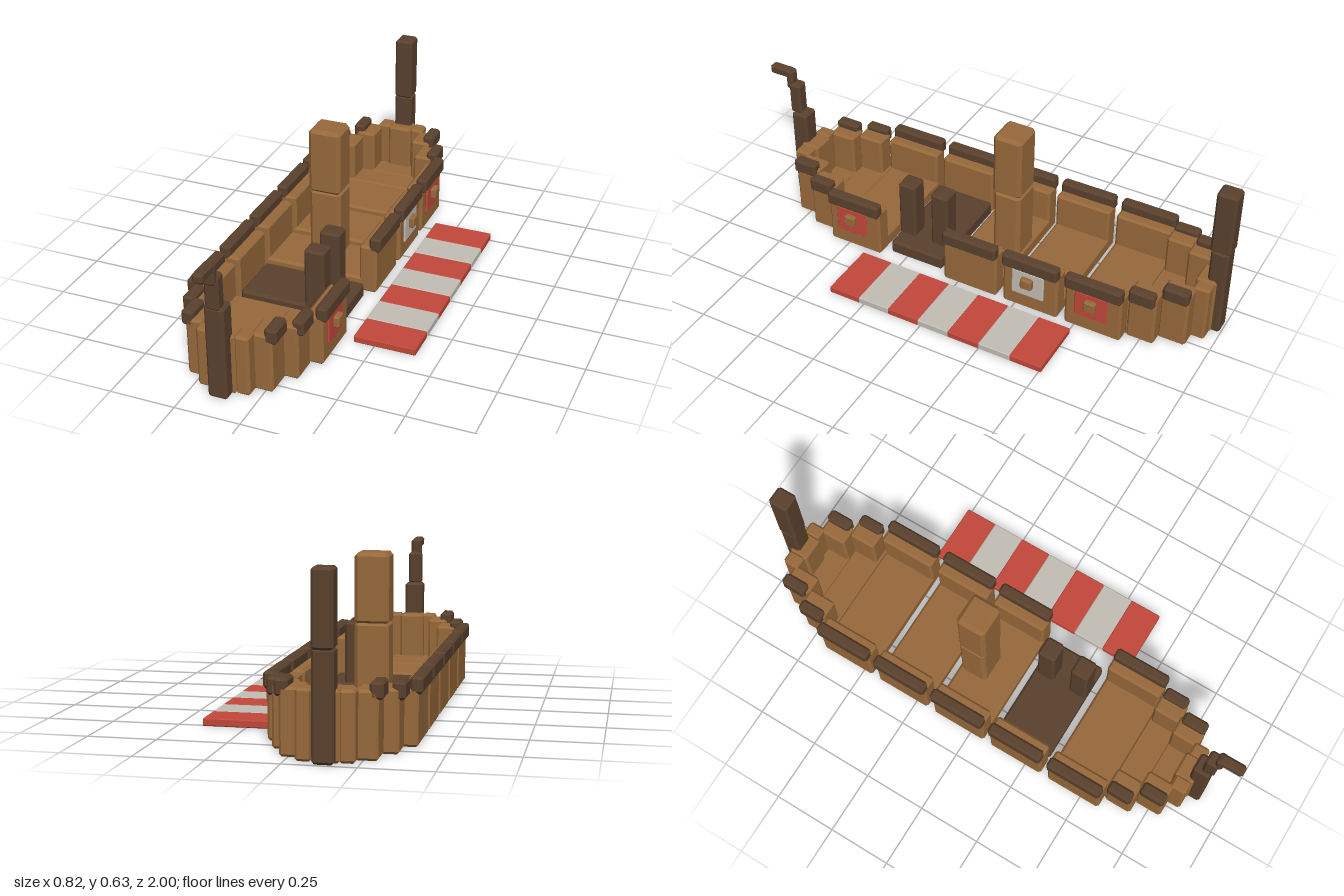
import * as THREE from 'three';
import { ConvexGeometry } from 'three/addons/geometries/ConvexGeometry.js';

const mat = (name, color) => {
  const m = new THREE.MeshStandardMaterial({ color });
  m.name = name;
  return m;
};

// Box between two corners, with chamfered edges
function chamferBox([x0, x1], [y0, y1], [z0, z1], c) {
  const half = [(x1 - x0) / 2, (y1 - y0) / 2, (z1 - z0) / 2];
  const points = [];
  for (const sx of [-1, 1]) for (const sy of [-1, 1]) for (const sz of [-1, 1]) {
    for (let axis = 0; axis < 3; axis++) {
      const p = half.map((h, i) => (i === axis ? h : h - c));
      points.push(new THREE.Vector3(p[0] * sx, p[1] * sy, p[2] * sz));
    }
  }
  return new ConvexGeometry(points).translate((x0 + x1) / 2, (y0 + y1) / 2, (z0 + z1) / 2);
}

export function createModel() {
  const model = new THREE.Group();
  model.name = 'longboat';
  const wood = mat('wood', 0x97693b);
  const dark = mat('dark wood', 0x5a412d);
  const red = mat('red', 0xc2473a);
  const white = mat('off white', 0xc2beb4);

  const part = (parent, name, material, x, y, z, c = 0.009) => {
    const mesh = new THREE.Mesh(chamferBox(x, y, z, c), material);
    mesh.name = name;
    parent.add(mesh);
  };
  const group = (name, parent = model) => {
    const g = new THREE.Group();
    g.name = name;
    parent.add(g);
    return g;
  };
  const side = (s, a, b) => (s > 0 ? [a, b] : [-b, -a]);

  // Boat: its own centre line is x = 0 here
  const boat = group('boat');
  boat.position.x = -0.135;

  // Five middle hull sections; the fourth is the open boarding section
  for (let i = 0; i < 5; i++) {
    const z = [-0.69 + i * 0.26, -0.46 + i * 0.26];
    const boarding = i === 3;
    const section = group(boarding ? 'boardingSection' : 'hullSection', boat);
    part(section, 'floor', boarding ? dark : wood, [boarding ? -0.19 : -0.225, 0.225], [0, 0.06], z);
    for (const s of boarding ? [-1] : [-1, 1]) {
      part(section, 'wall', wood, side(s, 0.19, 0.26), [0, 0.2], z);
      part(section, 'rail', dark, side(s, 0.23, 0.275), [0.18, 0.24], z);
    }
  }
  for (const z of [0.14, 0.285]) {
    part(boat, 'boardingPost', dark, [0.075, 0.155], [0.05, 0.298], [z - 0.037, z + 0.037]);
  }

  // Tapering ends, mirrored about the middle of the hull
  const middle = -0.055;
  for (const end of [1, -1]) {
    const taper = group(end > 0 ? 'bow' : 'stern', boat);
    const along = (a, b) => (end > 0 ? [a, b] : [2 * middle - b, 2 * middle - a]);
    part(taper, 'floor', wood, [-0.21, 0.21], [0, 0.06], along(0.575, 0.695));
    part(taper, 'floor', wood, [-0.16, 0.16], [0, 0.06], along(0.685, 0.8));
    for (const s of [-1, 1]) {
      part(taper, 'stave', wood, side(s, 0.135, 0.215), [0, 0.22], along(0.585, 0.695));
      part(taper, 'rail', dark, side(s, 0.19, 0.235), [0.18, 0.242], along(0.59, 0.69));
      part(taper, 'stave', wood, side(s, 0.085, 0.165), [0, 0.232], along(0.69, 0.8));
      part(taper, 'rail', dark, side(s, 0.135, 0.182), [0.2, 0.26], along(0.7, 0.8));
      part(taper, 'stave', wood, side(s, 0.045, 0.1), [0, 0.24], along(0.785, 0.85));
    }
    part(taper, 'endBlock', wood, [-0.05, 0.05], [0, 0.24], along(0.775, 0.855));
  }

  // Stem post with a stepped curl
  part(boat, 'bowPost', dark, [-0.037, 0.037], [0, 0.37], [0.83, 0.9]);
  part(boat, 'bowNeck', dark, [-0.027, 0.027], [0.365, 0.5], [0.86, 0.91]);
  part(boat, 'bowNeckTop', dark, [-0.022, 0.022], [0.47, 0.555], [0.893, 0.925]);
  part(boat, 'bowTip', dark, [-0.02, 0.02], [0.518, 0.558], [0.9, 1]);

  // Tall stern post
  part(boat, 'sternPost', dark, [-0.037, 0.037], [0, 0.375], [-0.995, -0.925]);
  part(boat, 'sternPostTop', dark, [-0.037, 0.037], [0.37, 0.633], [-1, -0.92]);

  // Mast in two blocks
  part(boat, 'mastBase', wood, [-0.065, 0.065], [0.05, 0.34], [-0.165, -0.05], 0.014);
  part(boat, 'mastTop', wood, [-0.065, 0.065], [0.33, 0.597], [-0.165, -0.045], 0.014);

  // Shields on the left side
  for (const [z, color] of [[0.475, red], [-0.308, white], [-0.57, red]]) {
    const shield = group('shield', boat);
    part(shield, 'shieldPlate', color, [0.258, 0.268], [0.068, 0.182], [z - 0.067, z + 0.067], 0.004);
    part(shield, 'shieldBoss', wood, [0.262, 0.288], [0.113, 0.16], [z - 0.024, z + 0.024], 0.006);
  }

  // Striped sail laid beside the boat
  const sail = group('stripedSail');
  for (let i = 0; i < 7; i++) {
    const z = -0.51 + i * 0.13;
    part(sail, 'sailStripe', i % 2 ? white : red, [0.17, 0.41], [0, 0.028], [z, z + 0.13], 0.003);
  }
  return model;
}
